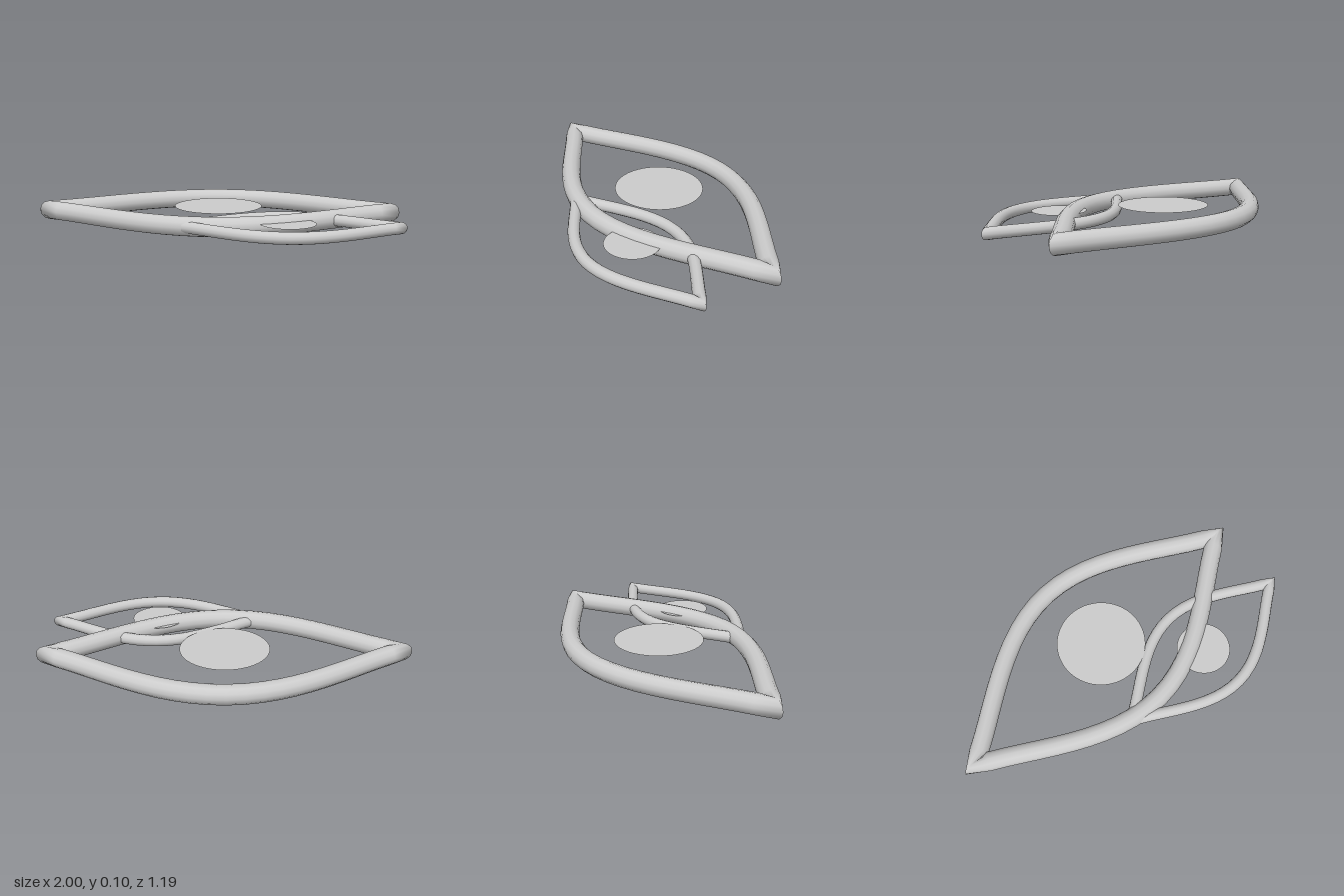
import * as THREE from 'three';

const HALF_LENGTH = 0.948, HALF_HEIGHT = 0.43, TUBE_RADIUS = 0.052;

// Closed almond outline in the xz plane with a sharp corner at each end
class AlmondCurve extends THREE.Curve {
  getPoint(t, target = new THREE.Vector3()) {
    const s = (((t % 1) + 1) % 1) * 4;
    const lower = s > 1 && s < 3;
    const k = s <= 1 ? s : s < 3 ? 2 - s : s - 4; // -1..1 from tip to tip
    const bulge = Math.pow(Math.max(0, Math.cos(k * Math.PI / 2)), 1.2);
    return target.set(k * HALF_LENGTH, 0, (lower ? 1 : -1) * HALF_HEIGHT * bulge);
  }
}

export function createModel() {
  const model = new THREE.Group();
  model.name = 'eyePair';
  const grey = new THREE.MeshStandardMaterial({ color: 0xcccccc, side: THREE.DoubleSide });
  grey.name = 'light grey';

  const outlineGeometry = new THREE.TubeGeometry(new AlmondCurve(), 48, TUBE_RADIUS, 12, true);
  const pupilGeometry = new THREE.CircleGeometry(0.24, 64).rotateX(-Math.PI / 2);

  function addEye(name, x, z, scale) {
    const eye = new THREE.Group();
    eye.name = name;

    // Rounded rim
    const outline = new THREE.Mesh(outlineGeometry, grey);
    outline.name = name + 'Outline';

    // Flat disc floating just above the middle of the rim
    const pupil = new THREE.Mesh(pupilGeometry, grey);
    pupil.name = name + 'Pupil';
    pupil.position.y = 0.031;

    eye.add(outline, pupil);
    eye.position.set(x, TUBE_RADIUS, z);
    eye.scale.setScalar(scale);
    model.add(eye);
  }

  addEye('largeEye', 0, -0.115, 1);
  addEye('smallEye', 0.37, 0.3, 0.6);
  return model;
}
